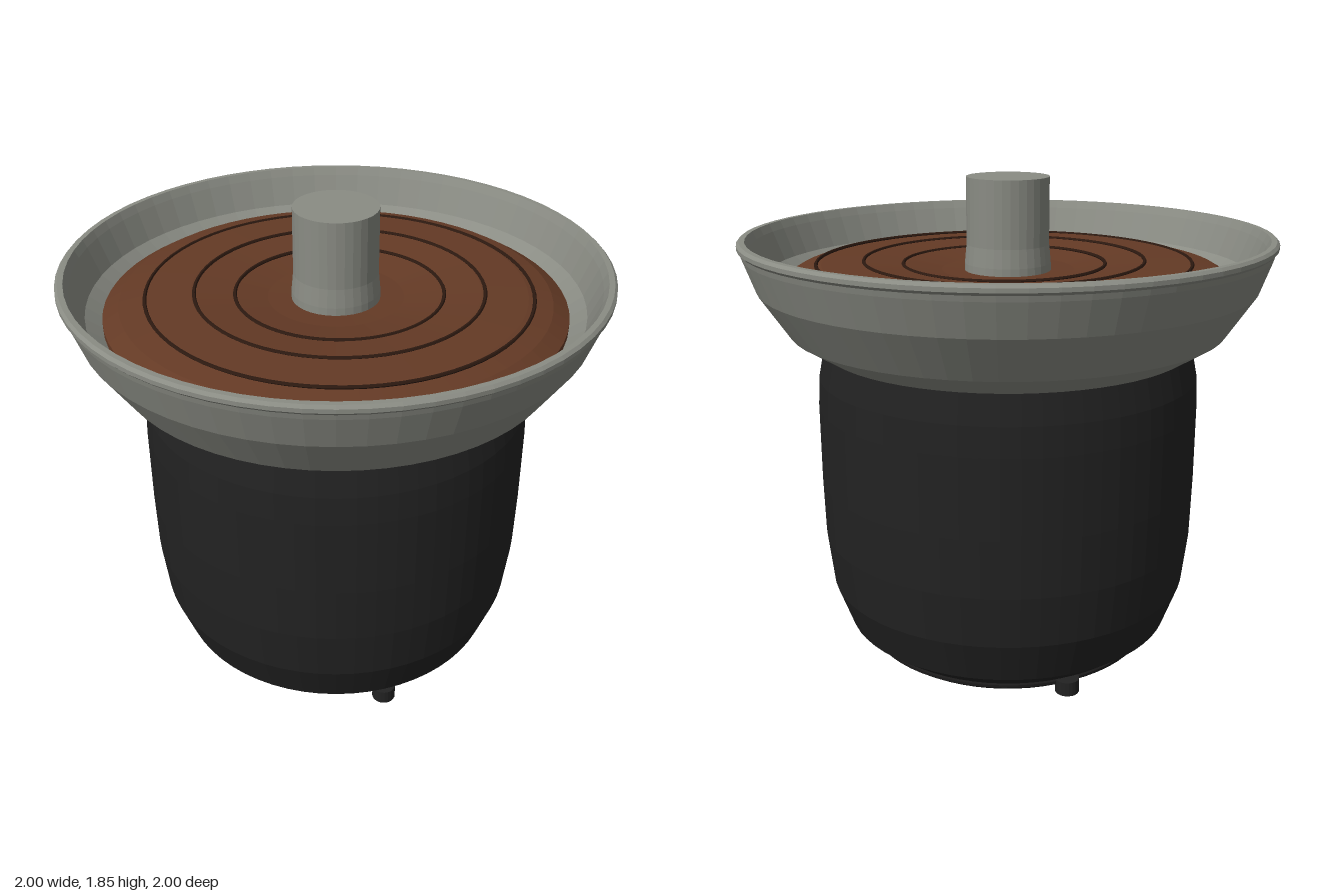
import * as THREE from 'three';

const mat = (name, color) => {
  const m = new THREE.MeshStandardMaterial({ color, flatShading: true });
  m.name = name;
  return m;
};

export function createModel() {
  const grey = mat('warm grey', 0x8a8c84);
  const black = mat('black', 0x222222);
  const darkBlack = mat('base black', 0x1b1a1a);
  const brown = mat('brown', 0x643a25);
  const darkBrown = mat('dark brown', 0x2c1910);

  const model = new THREE.Group();
  const add = (name, geometry, material, x = 0, y = 0, z = 0) => {
    const mesh = new THREE.Mesh(geometry, material);
    mesh.name = name;
    mesh.position.set(x, y, z);
    model.add(mesh);
    return mesh;
  };
  const lathe = (points, segments = 64) =>
    new THREE.LatheGeometry(points.map(([r, y]) => new THREE.Vector2(r, y)), segments);

  // Rounded pot body
  add('body', lathe([
    [0, 0.05], [0.56, 0.05], [0.645, 0.115], [0.705, 0.28], [0.728, 0.48],
    [0.733, 0.7], [0.733, 1.0], [0.727, 1.11], [0.705, 1.22], [0, 1.22],
  ]), black);

  // Base plate under the body
  add('basePlate', lathe([
    [0, 0.01], [0.53, 0.01], [0.565, 0.035], [0.565, 0.045], [0.54, 0.055],
  ]), darkBlack);

  // Four small round feet
  for (const x of [-0.455, 0.455]) {
    for (const z of [-0.34, 0.34]) {
      add('foot', new THREE.CylinderGeometry(0.045, 0.045, 0.055, 20), black, x, 0.0275, z);
    }
  }

  // Flared bowl: outer wall, rolled lip, inner wall
  add('bowl', lathe([
    [0.68, 1.215], [0.71, 1.22], [0.83, 1.295], [0.94, 1.46], [0.985, 1.585],
    [0.99, 1.605], [1.0, 1.615], [1.0, 1.63], [0.99, 1.64], [0.97, 1.64],
    [0.955, 1.61], [0.91, 1.5], [0.83, 1.44], [0.6, 1.42], [0, 1.42],
  ]), grey);

  // Gently domed filling, dipping at the middle
  add('filling', lathe([
    [0.85, 1.44], [0.85, 1.48], [0.79, 1.515], [0.7, 1.535], [0.53, 1.54],
    [0.38, 1.525], [0.25, 1.505], [0.1, 1.5],
  ]), brown);

  // Thin ripple rings, set slightly to one side
  for (const [radius, y] of [[0.707, 1.535], [0.53, 1.541], [0.382, 1.527]]) {
    add('rippleRing', new THREE.TorusGeometry(radius, 0.007, 6, 72), darkBrown, 0.016, y, 0)
      .rotation.x = Math.PI / 2;
  }

  // Central column
  add('column', lathe([
    [0.165, 1.45], [0.163, 1.53], [0.156, 1.6], [0.156, 1.85], [0, 1.85],
  ], 32), grey);

  return model;
}
